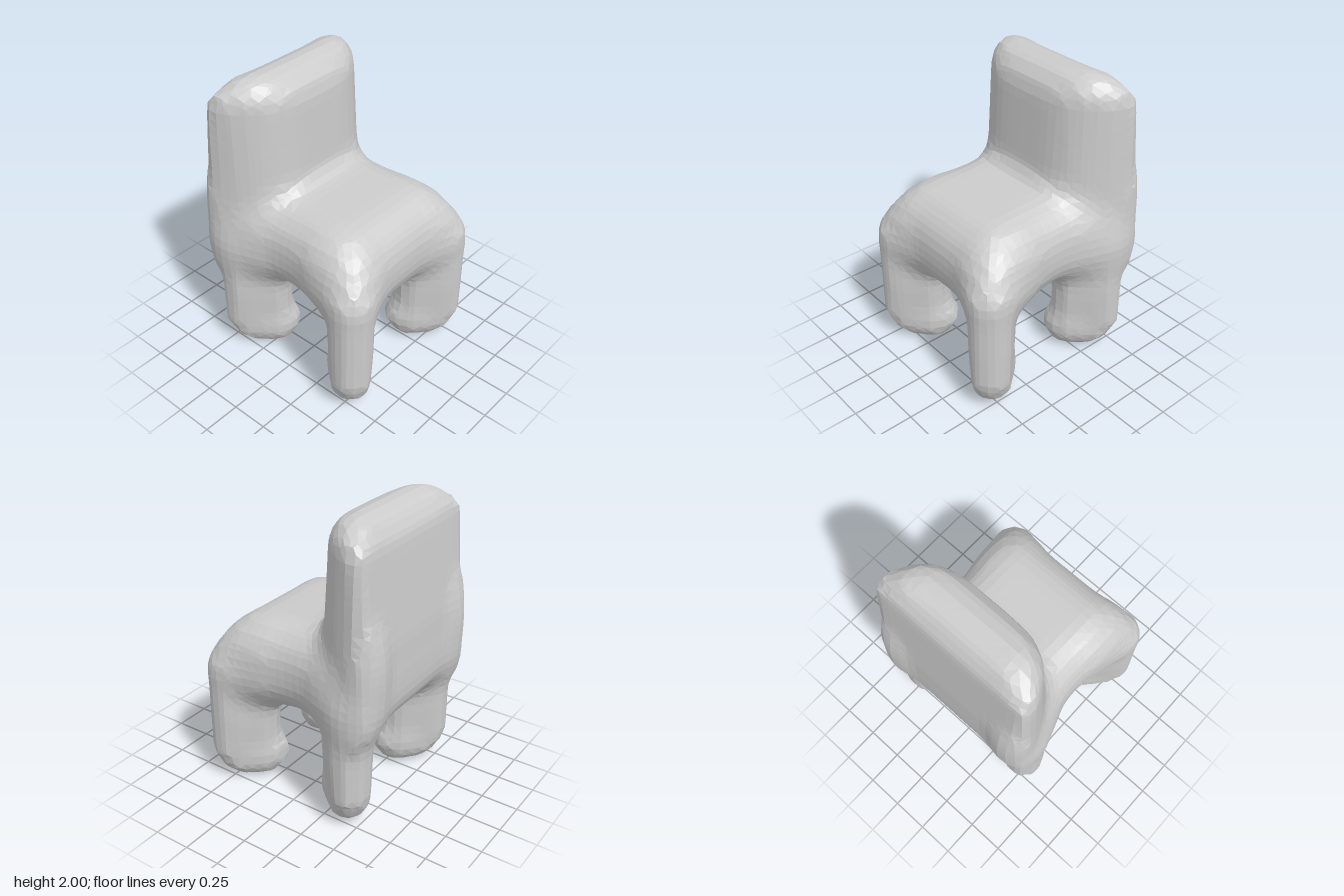
import * as THREE from 'three';

const STEP = 0.06;    // facet size of the blended skin
const BLEND = 0.13;   // softness where parts flow together

// Signed distance to a rounded box centred on the origin
function roundBox(x, y, z, hx, hy, hz, r) {
  const a = Math.abs(x) - hx + r, b = Math.abs(y) - hy + r, c = Math.abs(z) - hz + r;
  return Math.hypot(Math.max(a, 0), Math.max(b, 0), Math.max(c, 0)) + Math.min(Math.max(a, b, c), 0) - r;
}

// Approximate signed distance to an ellipsoid
function ellipsoid(x, y, z, rx, ry, rz) {
  const k = Math.hypot(x / rx, y / ry, z / rz);
  const g = Math.hypot(x / (rx * rx), y / (ry * ry), z / (rz * rz));
  return g < 1e-6 ? -Math.min(rx, ry, rz) : k * (k - 1) / g;
}

function smoothMin(a, b, k) {
  const h = Math.max(k - Math.abs(a - b), 0) / k;
  return Math.min(a, b) - h * h * k / 4;
}

const clamp = THREE.MathUtils.clamp;

// Seat: thick cushion block with waisted sides, sloping towards the free edge
function seat(x, y, z) {
  const slope = 0.05 * Math.max(x, 0);
  const halfDepth = 0.522 + Math.min(0.7 * x * x, 0.035);
  return roundBox(x - 0.02, y - 0.908 + slope, z, 0.57, 0.312, halfDepth, 0.27);
}

// Backrest: flat behind, bowed in front, leaning in, with rounded top corners
function backrest(x, y, z) {
  const front = -0.12 - 0.31 * Math.min(Math.abs(z) / 0.59, 1.1) ** 4 - 0.06 * Math.max(y - 1.3, 0);
  const rear = -0.615 + 0.1 * Math.max(y - 1.2, 0);
  const half = Math.max((front - rear) / 2, 0.04);
  const corner = clamp((Math.abs(z) - 0.33) / 0.26, 0, 1.2);
  const top = 1.992 - 0.14 * corner * corner, bottom = 0.66;
  const profile = roundBox(x - (front + rear) / 2, y - (top + bottom) / 2, 0,
    half, (top - bottom) / 2, 1, Math.min(0.21, half));
  const panel = -smoothMin(-profile, 0.595 - Math.abs(z), 0.08);
  // swelling along both rear corners
  const ridge = ellipsoid(x + 0.52, y - 1.06, Math.abs(z) - 0.455, 0.14, 0.4, 0.14);
  return smoothMin(panel, ridge, 0.05);
}

// Leg: flattened post set diagonally, thinning to a foot that swells inwards, with a rounded shoulder
function leg(cx, sx, sz) {
  return (x, y, z) => {
    const dx = (x - cx) * sx, dz = (z - sz * 0.4) * sz;
    const u = (dx + dz) * Math.SQRT1_2, v = (dx - dz) * Math.SQRT1_2;
    const cut = 0.25 * clamp(0.2 - y, 0, 0.25);
    const thick = 0.142 - 0.02 * clamp((0.45 - y) / 0.4, 0, 1);
    const post = roundBox(u - 0.01 + cut, y - 0.47, v, 0.232 - cut, 0.478, thick, thick - 0.005);
    const foot = ellipsoid(u + 0.09, y - 0.155, v, 0.19, 0.155, 0.135);
    const shoulder = ellipsoid(u + 0.055, y - 0.83, v, 0.27, 0.25, 0.165);
    return smoothMin(smoothMin(post, foot, 0.05), shoulder, 0.06);
  };
}

const parts = [
  { name: 'seat', field: seat },
  { name: 'backrest', field: backrest },
  { name: 'rearLegLeft', field: leg(-0.355, -1, 1) },
  { name: 'rearLegRight', field: leg(-0.355, -1, -1) },
  { name: 'frontLegLeft', field: leg(0.452, 1, 1) },
  { name: 'frontLegRight', field: leg(0.452, 1, -1) },
];

const body = (x, y, z) => parts.reduce((d, p) => smoothMin(d, p.field(x, y, z), BLEND), 10);

// Nearest part to a point
function ownerOf(x, y, z) {
  let best = 0, least = Infinity;
  parts.forEach((p, i) => {
    const d = p.field(x, y, z);
    if (d < least) { least = d; best = i; }
  });
  return best;
}

// Wrap the blended body in a quad skin on a regular grid
function skin() {
  const n = [30, 42, 30];
  const origin = [-n[0] * STEP / 2, -0.15, -n[2] * STEP / 2];
  const id = (i, j, k) => (i * (n[1] + 1) + j) * (n[2] + 1) + k;
  const at = (axis, i) => origin[axis] + i * STEP;
  const value = [], vertexOf = new Map(), points = [], faces = parts.map(() => []);
  for (let i = 0; i <= n[0]; i++) for (let j = 0; j <= n[1]; j++) for (let k = 0; k <= n[2]; k++)
    value[id(i, j, k)] = body(at(0, i), at(1, j), at(2, k));

  // one point per cell the surface passes through
  for (let i = 0; i < n[0]; i++) for (let j = 0; j < n[1]; j++) for (let k = 0; k < n[2]; k++) {
    const sum = [0, 0, 0];
    let count = 0;
    for (let c = 0; c < 8; c++) for (let a = 0; a < 3; a++) {
      if (c >> a & 1) continue;
      const p = [i + (c & 1), j + (c >> 1 & 1), k + (c >> 2 & 1)];
      const q = p.slice();
      q[a]++;
      const d0 = value[id(...p)], d1 = value[id(...q)];
      if ((d0 < 0) === (d1 < 0)) continue;
      p[a] += d0 / (d0 - d1);
      for (let m = 0; m < 3; m++) sum[m] += at(m, p[m]);
      count++;
    }
    if (!count) continue;
    vertexOf.set(id(i, j, k), points.length);
    points.push(sum.map((s) => s / count));
  }

  // one quad per grid edge that crosses the surface, split along its shorter diagonal
  const gap = (v, w) => Math.hypot(...points[v].map((c, m) => c - points[w][m]));
  for (let i = 1; i < n[0]; i++) for (let j = 1; j < n[1]; j++) for (let k = 1; k < n[2]; k++)
    for (let a = 0; a < 3; a++) {
      const q = [i, j, k];
      q[a]++;
      const inside = value[id(i, j, k)] < 0;
      if (inside === value[id(...q)] < 0) continue;
      const ring = [[0, 0], [1, 0], [1, 1], [0, 1]].map(([s, t]) => {
        const cell = [i, j, k];
        cell[(a + 1) % 3] -= s;
        cell[(a + 2) % 3] -= t;
        return vertexOf.get(id(...cell));
      });
      if (!inside) ring.reverse();
      if (gap(ring[1], ring[3]) < gap(ring[0], ring[2])) ring.push(ring.shift());
      const mid = [0, 1, 2].map((m) => ring.reduce((s, v) => s + points[v][m] / 4, 0));
      const [w0, w1, w2, w3] = ring;
      faces[ownerOf(...mid)].push(w0, w1, w2, w0, w2, w3);
    }
  return { points, faces };
}

export function createModel() {
  const model = new THREE.Group();
  model.name = 'chair';
  const material = new THREE.MeshStandardMaterial({ color: 0xcccccc, flatShading: true });
  const { points, faces } = skin();
  const ground = Math.min(...points.map((p) => p[1]));

  parts.forEach((part, i) => {
    const geometry = new THREE.BufferGeometry();
    const positions = faces[i].flatMap((v) => points[v]);
    geometry.setAttribute('position', new THREE.Float32BufferAttribute(positions, 3));
    geometry.computeVertexNormals();
    const mesh = new THREE.Mesh(geometry, material);
    mesh.name = part.name;
    mesh.position.y = -ground; // feet rest on the floor
    model.add(mesh);
  });
  return model;
}
